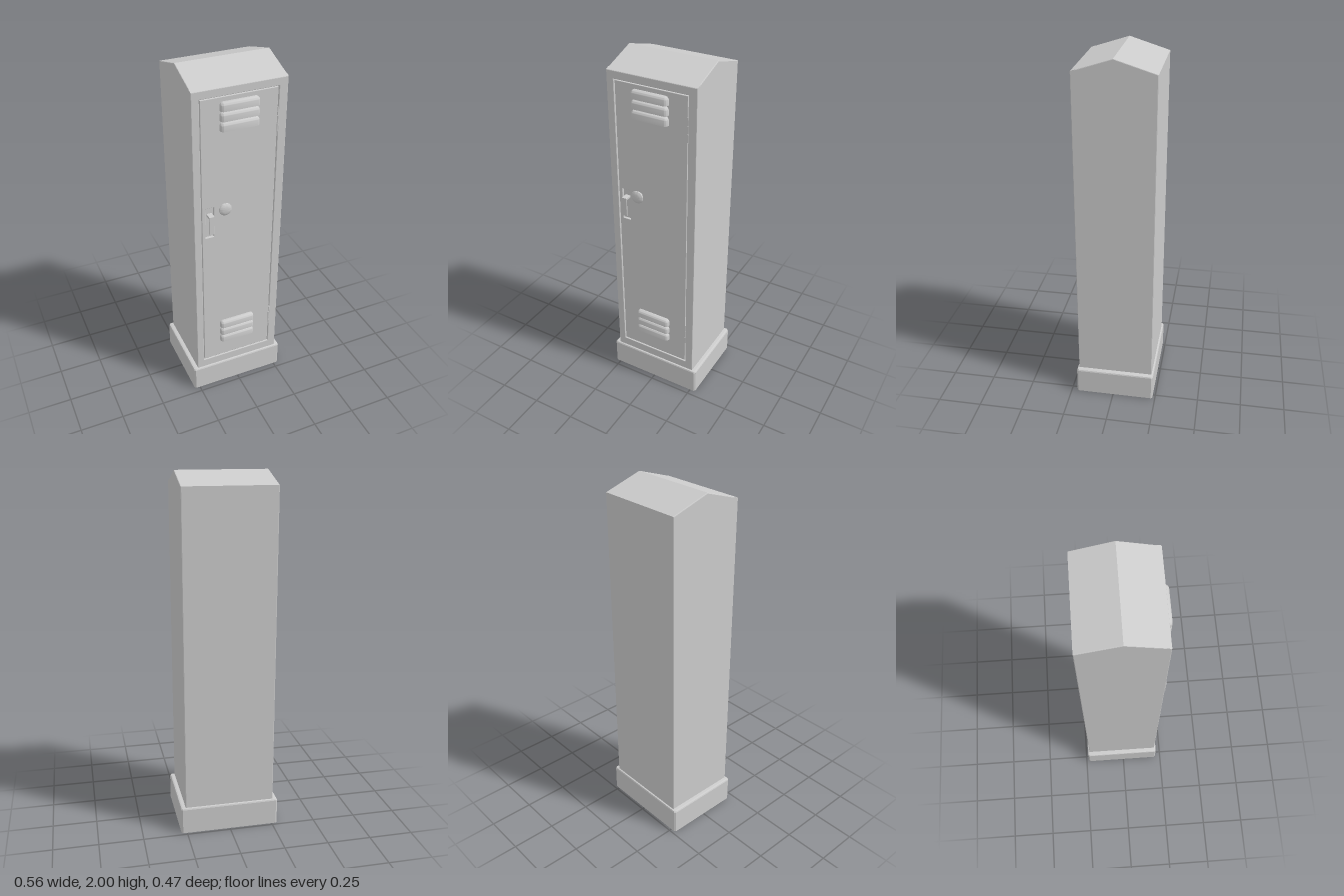
import * as THREE from 'three';
import { toCreasedNormals } from 'three/addons/utils/BufferGeometryUtils.js';
import { RoundedBoxGeometry } from 'three/addons/geometries/RoundedBoxGeometry.js';

const FRONT = 0.207, BACK = -0.225, INSET = 0.19, RIDGE = -0.005;
const EAVE = 1.932, SLOPE = (2 - EAVE) / (FRONT - RIDGE);

const grey = new THREE.MeshStandardMaterial({ color: 0xcccccc, side: THREE.DoubleSide });

function add(parent, name, geometry, x = 0, y = 0, z = 0) {
  const mesh = new THREE.Mesh(geometry, grey);
  mesh.name = name;
  mesh.position.set(x, y, z);
  parent.add(mesh);
  return mesh;
}

function rect(x0, x1, y0, y1, Type = THREE.Shape) {
  return new Type([[x0, y0], [x1, y0], [x1, y1], [x0, y1]].map(p => new THREE.Vector2(...p)));
}

// Extrusion along z from z0 to z1, with a small inward bevel on its edges
function slab(shape, z0, z1, bevel) {
  const g = new THREE.ExtrudeGeometry(shape, {
    depth: z1 - z0 - 2 * bevel, bevelEnabled: bevel > 0, bevelSize: bevel,
    bevelThickness: bevel, bevelOffset: -bevel, bevelSegments: 2, curveSegments: 8,
  });
  return g.translate(0, 0, z0 + bevel);
}

// Skin over rectangular rings with clipped corners: [inset, y] per ring, last ring capped
function plinthGeometry(x, z0, z1, rings, clip) {
  const pos = [], index = [], n = 8;
  for (const [d, y] of rings) {
    const a = x - d, f = z1 - d, b = z0 + d, c = clip;
    for (const [px, pz] of [[a, f - c], [a, b + c], [a - c, b], [c - a, b],
      [-a, b + c], [-a, f - c], [c - a, f], [a - c, f]]) pos.push(px, y, pz);
  }
  for (let r = 0; r < rings.length - 1; r++) {
    for (let i = 0; i < n; i++) {
      const p = r * n + i, q = r * n + (i + 1) % n;
      index.push(p, p + n, q, q, p + n, q + n);
    }
  }
  const last = (rings.length - 1) * n;
  for (const start of [0, last]) {
    for (let i = 1; i < n - 1; i++) index.push(start, start + i, start + i + 1);
  }
  const g = new THREE.BufferGeometry();
  g.setAttribute('position', new THREE.Float32BufferAttribute(pos, 3));
  g.setIndex(index);
  return toCreasedNormals(g, 0.3);
}

// Louvre hood: rounded above, cut flat below
function louvreGeometry() {
  const g = new RoundedBoxGeometry(0.21, 0.09, 0.054, 4, 0.02);
  const p = g.attributes.position;
  for (let i = 0; i < p.count; i++) p.setY(i, Math.max(p.getY(i), 0));
  return toCreasedNormals(g, 0.7);
}

export function createModel() {
  const locker = new THREE.Group();
  locker.name = 'locker';

  // Hollow plinth, open underneath
  add(locker, 'plinth', plinthGeometry(0.282, -0.235, 0.217,
    [[0.01, 0.155], [0.003, 0.152], [0, 0.145], [0, 0], [0.004, 0], [0.004, 0.14]], 0.009));

  // Cabinet with pitched roof, profile drawn in z and y
  const profile = new THREE.Shape([
    [BACK, 0.15], [INSET, 0.15], [INSET, EAVE + SLOPE * (FRONT - INSET)], [RIDGE, 2], [BACK, EAVE],
  ].map(p => new THREE.Vector2(...p)));
  add(locker, 'cabinet', slab(profile, -0.255, 0.255, 0.004).rotateY(-Math.PI / 2));

  // Front frame around the door, its top following the roof pitch
  const frameShape = rect(-0.255, 0.255, 0.15, EAVE);
  frameShape.holes.push(rect(-0.214, 0.208, 0.206, 1.889, THREE.Path));
  const frame = slab(frameShape, INSET - 0.01, FRONT, 0.003);
  const fp = frame.attributes.position;
  for (let i = 0; i < fp.count; i++) {
    if (fp.getY(i) > 1.91) fp.setY(i, fp.getY(i) + SLOPE * (FRONT - fp.getZ(i)));
  }
  frame.computeVertexNormals();
  add(locker, 'doorFrame', frame);

  // Door leaf with a pocket for the latch
  const door = new THREE.Group();
  door.name = 'door';
  locker.add(door);
  const leaf = rect(-0.209, 0.204, 0.211, 1.884);
  leaf.holes.push(rect(-0.19, -0.142, 1.09, 1.275, THREE.Path));
  add(door, 'doorPanel', slab(leaf, INSET - 0.005, 0.204, 0.002));

  // Louvres in two groups of three
  for (const bottom of [1.71, 0.33]) {
    for (let i = 0; i < 3; i++) {
      add(door, 'louvre', louvreGeometry(), -0.005, bottom + i * 0.053, 0.203);
    }
  }

  // Bent latch handle: arm out of the pocket, then a grip hanging down
  const lever = new THREE.Shape([
    [0.185, 1.235], [0.231, 1.235], [0.231, 1.125], [0.224, 1.125], [0.224, 1.222], [0.185, 1.222],
  ].map(p => new THREE.Vector2(...p)));
  add(door, 'latchHandle', slab(lever, -0.015, 0.015, 0.0015).rotateY(-Math.PI / 2), -0.164);

  // Lock knob with collar
  const knob = [[0, 0], [0.024, 0], [0.024, 0.007], [0.019, 0.01], [0.019, 0.013], [0.032, 0.014],
    [0.036, 0.018], [0.035, 0.023], [0.027, 0.028], [0.018, 0.031], [0, 0.031]]
    .map(p => new THREE.Vector2(...p));
  add(door, 'lockKnob', toCreasedNormals(new THREE.LatheGeometry(knob, 32).rotateX(Math.PI / 2), 0.6),
    -0.085, 1.26, 0.203);

  // Hinge knuckles in the gap beside the door
  for (const middle of [1.71, 0.415]) {
    for (let i = -1; i <= 1; i++) {
      add(door, 'hingeKnuckle', new THREE.CylinderGeometry(0.005, 0.005, 0.042, 12),
        0.207, middle + i * 0.045, 0.203);
    }
  }
  return locker;
}
